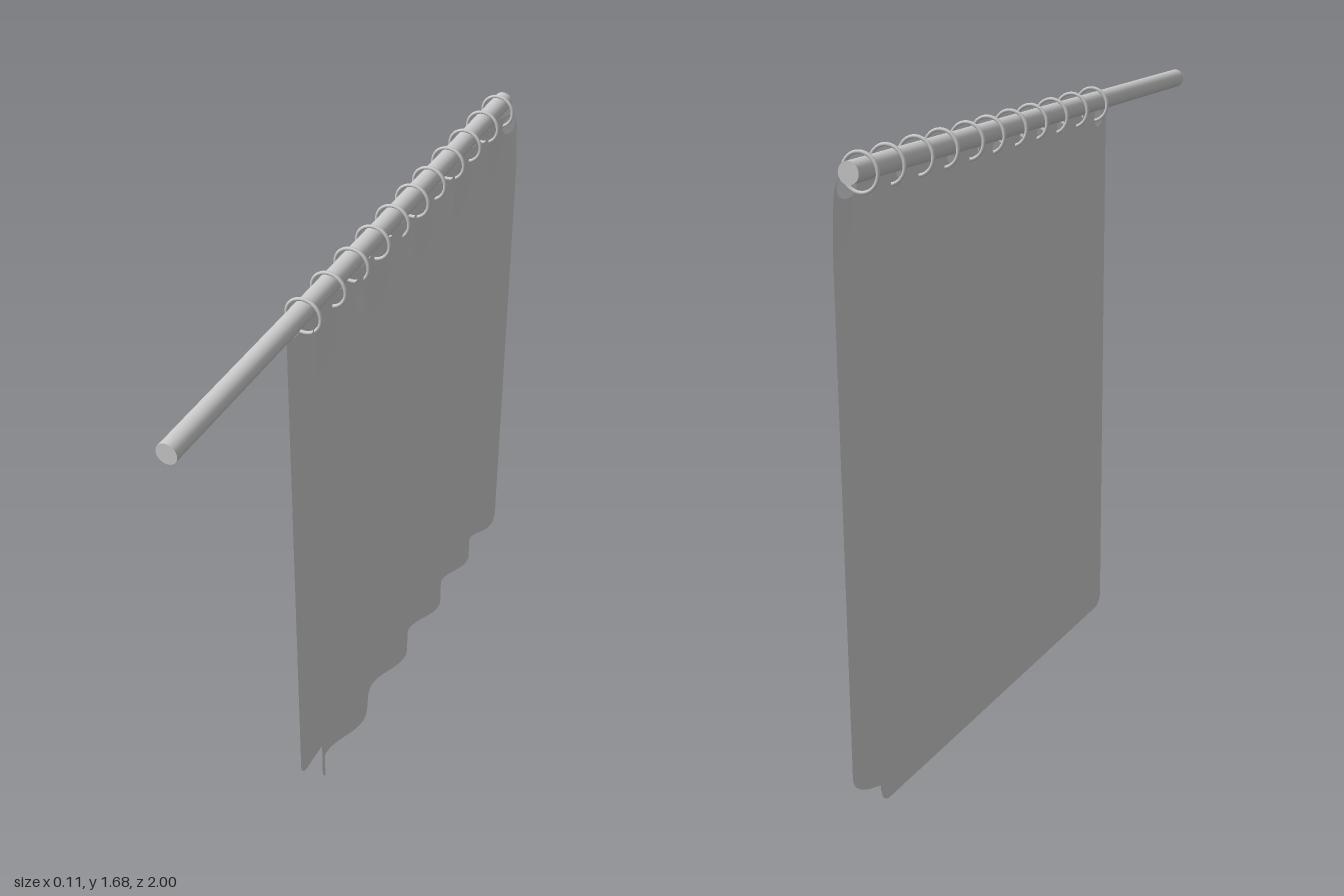
import * as THREE from 'three';

const material = new THREE.MeshStandardMaterial({ color: 0xcccccc });
const clothMaterial = new THREE.MeshStandardMaterial({ color: 0xcccccc, side: THREE.DoubleSide });

const RING_Z = [0.35, 0.21, 0.075, -0.055, -0.18, -0.31, -0.425, -0.56, -0.685, -0.82, -0.94];
const HOLE_Y = 1.595;
const HOLE_R = 0.028;

// Fold peaks and valleys along the curtain: [z, -1 valley .. 1 peak]
const FOLDS = [[-0.98, 1.15], [-0.86, -1], [-0.74, 0.8], [-0.61, -1], [-0.475, 1], [-0.335, -1],
  [-0.2, 0.95], [-0.04, -1], [0.12, 1], [0.29, -1], [0.41, 1.15]];

// Smooth interpolation between fold extremes
function fold(z) {
  for (let i = 0; i < FOLDS.length - 1; i++) {
    const [z0, a] = FOLDS[i], [z1, b] = FOLDS[i + 1];
    if (z <= z1) {
      const t = Math.max(0, (z - z0) / (z1 - z0));
      return a + (b - a) * (1 - Math.cos(Math.PI * t)) / 2;
    }
  }
  return FOLDS[FOLDS.length - 1][1];
}

// Hanging sheet with rounded corners and a row of round holes, built as vertical columns
function sheet({ z0, z1, bottom, top, corner, holes, x }) {
  const zs = [];
  for (let i = 0; i <= 120; i++) zs.push(z0 + (z1 - z0) * i / 120);
  for (let k = 0; k <= 8; k++) {
    const d = corner * (1 - Math.cos(k / 8 * Math.PI / 2));
    zs.push(z0 + d, z1 - d);
  }
  for (const h of holes) for (let k = 0; k <= 12; k++) zs.push(h + HOLE_R * Math.cos(k / 12 * Math.PI));
  zs.sort((a, b) => a - b);
  const columns = zs.filter((z, i) => i === 0 || z - zs[i - 1] > 1e-5);

  const LOW = 24, HIGH = 4, ROWS = LOW + HIGH + 2;
  const positions = [], index = [];
  columns.forEach((z, c) => {
    const d = Math.min(z - z0, z1 - z, corner);
    const inset = corner - Math.sqrt(Math.max(0, corner ** 2 - (corner - d) ** 2));
    const hole = holes.find(h => Math.abs(h - z) < HOLE_R);
    const half = hole === undefined ? 0 : Math.sqrt(HOLE_R ** 2 - (z - hole) ** 2);
    const add = (from, to, n) => {
      for (let j = 0; j <= n; j++) {
        const y = from + (to - from) * j / n;
        positions.push(x(y, z), y, z);
      }
    };
    const upper = top - inset;
    add(bottom + inset, Math.min(HOLE_Y - half, upper), LOW);
    add(Math.min(HOLE_Y + half, upper), upper, HIGH);
    if (c === 0) return;
    for (let j = 0; j < ROWS - 1; j++) {
      if (j === LOW) continue; // gap of the hole
      const a = (c - 1) * ROWS + j, b = c * ROWS + j;
      index.push(a, a + 1, b, b, a + 1, b + 1);
    }
  });
  const geometry = new THREE.BufferGeometry();
  geometry.setAttribute('position', new THREE.Float32BufferAttribute(positions, 3));
  geometry.setIndex(index);
  geometry.computeVertexNormals();
  return geometry;
}

export function createModel() {
  const group = new THREE.Group();
  const add = (name, geometry, mat = material) => {
    const mesh = new THREE.Mesh(geometry, mat);
    mesh.name = name;
    group.add(mesh);
    return mesh;
  };

  // Rod
  const rod = add('rod', new THREE.CylinderGeometry(0.028, 0.028, 2, 32));
  rod.rotation.x = Math.PI / 2;
  rod.position.set(-0.012, 1.64, 0);

  // Rings looped over the rod and through the holes
  const ringGeometry = new THREE.TorusGeometry(0.048, 0.005, 10, 36);
  RING_Z.forEach(z => add('ring', ringGeometry).position.set(-0.006, 1.632, z));

  // Folded outer curtain, gathered a little at the top
  add('curtain', sheet({
    z0: -0.98, z1: 0.41, bottom: 0.01, top: 1.63, corner: 0.055, holes: RING_Z,
    x: (y, z) => 0.025 + fold(z) * (0.022 - 0.008 * THREE.MathUtils.smoothstep(y, 1.45, 1.63)),
  }), clothMaterial);

  // Flat liner behind, with evenly spaced holes
  add('liner', sheet({
    z0: -0.965, z1: 0.405, bottom: 0, top: 1.62, corner: 0.04,
    holes: RING_Z.map((_, i) => 0.35 - 0.129 * i), x: () => -0.026,
  }), clothMaterial);

  return group;
}
